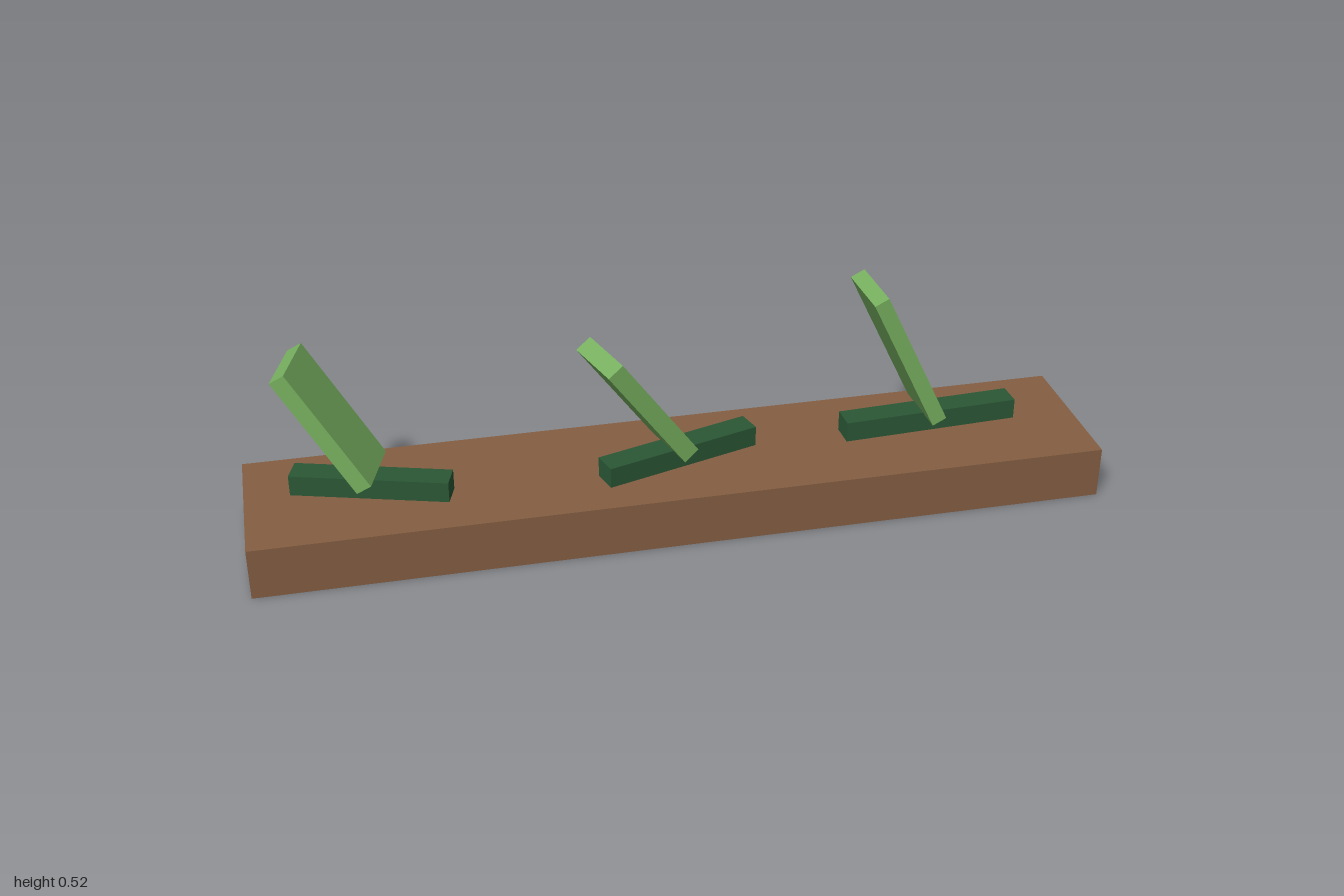
import * as THREE from 'three';

const deg = THREE.MathUtils.degToRad;

function material(name, color, side = THREE.FrontSide) {
  const m = new THREE.MeshStandardMaterial({ color, side });
  m.name = name;
  return m;
}

export function createModel() {
  const brown = material('woodBrown', 0x845e42, THREE.DoubleSide);
  const darkGreen = material('darkGreen', 0x2a5735);
  const leafGreen = material('leafGreen', 0x77b05f);

  const model = new THREE.Group();
  model.name = 'switchBoard';

  const addBox = (name, size, position, mat, turn = 0, lean = 0) => {
    const mesh = new THREE.Mesh(new THREE.BoxGeometry(...size), mat);
    mesh.name = name;
    mesh.position.set(...position);
    mesh.rotation.set(0, deg(turn), deg(lean));
    model.add(mesh);
    return mesh;
  };

  // Hollow plank: a box shell with its underside open (face group 3 is -y)
  const base = addBox('base', [2, 0.125, 0.374], [0, 0.0625, 0], brown);
  const index = Array.from(base.geometry.index.array);
  index.splice(18, 6);
  base.geometry.setIndex(index);
  base.geometry.clearGroups();

  // Three low rails, each with a leaning paddle
  const units = [
    { turn: -17, lean: 32, rail: [0.369, -0.71, 0], paddle: [0.04, 0.325, 0.155], at: [-0.79, 0.312, -0.03] },
    { turn: 17, lean: 35.5, rail: [0.39, 0.005, 0.016], paddle: [0.043, 0.334, 0.158], at: [-0.095, 0.314, 0.042] },
    { turn: 3, lean: 26, rail: [0.432, 0.632, -0.022], paddle: [0.037, 0.377, 0.162], at: [0.547, 0.3455, -0.016] },
  ];
  units.forEach(({ turn, lean, rail: [length, x, z], paddle, at }, i) => {
    addBox(`rail${i + 1}`, [length, 0.05, 0.06], [x, 0.15, z], darkGreen, turn);
    addBox(`paddle${i + 1}`, paddle, at, leafGreen, turn, lean);
  });

  return model;
}
